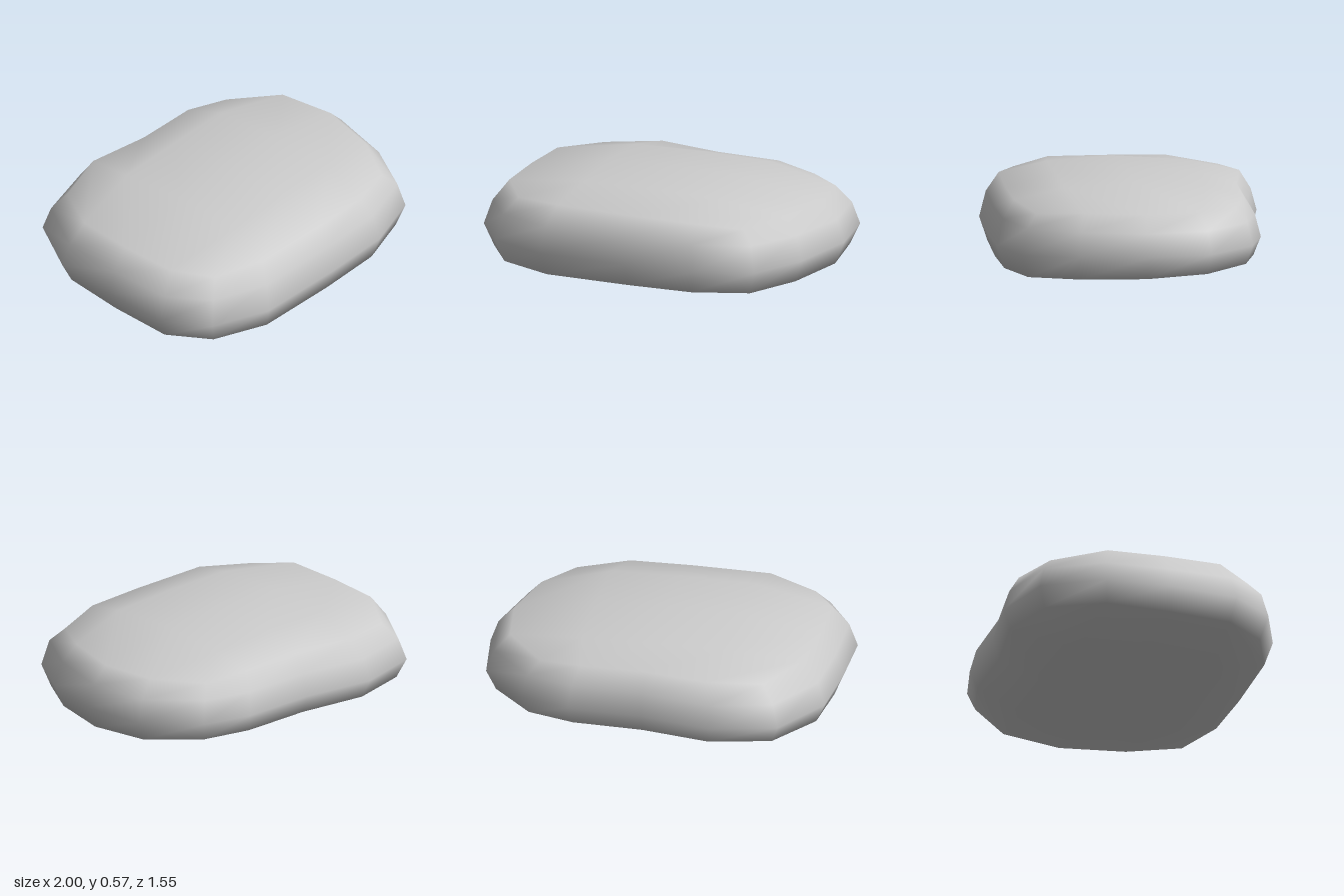
import * as THREE from 'three';
import { mergeVertices } from 'three/addons/utils/BufferGeometryUtils.js';

// Waist outline as [x, z], by row from back to front
const OUTLINE = [
  [[-0.77, -0.69], [-0.41, -0.78], [0, -0.71], [0.42, -0.70], [0.70, -0.62]],
  [[-0.97, -0.37], null, null, null, [0.95, -0.36]],
  [[-1, 0], null, null, null, [1, 0]],
  [[-1, 0.38], null, null, null, [0.90, 0.38]],
  [[-0.84, 0.62], [-0.52, 0.755], [0, 0.775], [0.40, 0.77], [0.73, 0.67]],
];

// Side levels, bottom rim to top rim: inset scale and height
const LEVELS = [
  { scale: 0.945, y: 0.11 },
  { scale: 1, y: 0.24 },
  { scale: 0.955, y: 0.365 },
  { scale: 0.867, y: 0.47 },
];

// Place one vertex of the block: column i, level k, row j
function place(i, k, j) {
  const point = OUTLINE[j][i];
  if (point) {
    const { scale, y } = LEVELS[k];
    const [x, z] = point;
    const corner = i % 4 === 0 && j % 4 === 0;
    const tilt = k === 3 ? -0.013 * x - (corner ? 0.025 : 0) : 0;
    const frontDip = k < 2 && z > 0 ? -0.03 * z : 0;
    const backLift = k === 0 && z < 0 ? -0.035 * z : 0;
    return [x * scale, y + tilt + frontDip + backLift, z * scale];
  }
  // Inner grid: gently domed top, nearly flat sloping underside
  const u = i - 2, v = j - 2;
  if (k === 3) return [u * 0.4, 0.568 - 0.008 * u * u - 0.026 * v * v + 0.005 * v - 0.004 * u, v * 0.395];
  return [u < 0 ? -0.54 : u * 0.41, 0.02 + u * (u < 0 ? 0.018 : 0.014), v * 0.4];
}

export function createModel() {
  const group = new THREE.Group();

  // Rounded stone, shaped from a subdivided block with smooth normals
  let geometry = new THREE.BoxGeometry(4, 3, 4, 4, 3, 4);
  geometry.deleteAttribute('normal');
  geometry.deleteAttribute('uv');
  geometry = mergeVertices(geometry);
  const p = geometry.attributes.position;
  for (let n = 0; n < p.count; n++) {
    const i = Math.round(p.getX(n) + 2);
    const k = Math.round(p.getY(n) + 1.5);
    const j = Math.round(p.getZ(n) + 2);
    p.setXYZ(n, ...place(i, k, j));
  }
  geometry.computeVertexNormals();

  const stone = new THREE.Mesh(geometry, new THREE.MeshStandardMaterial({ color: 0xcccccc }));
  stone.name = 'stone';
  group.add(stone);
  return group;
}
